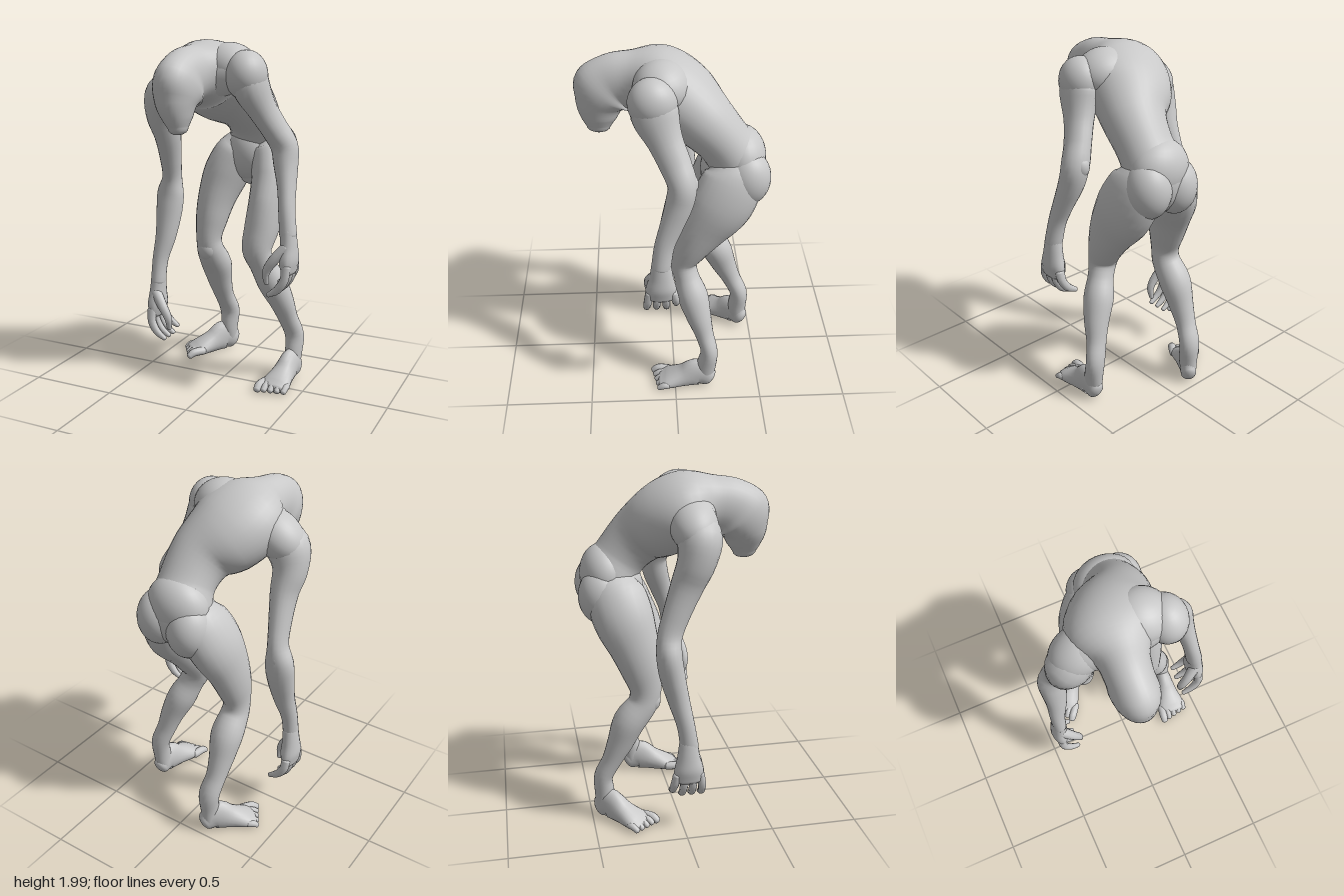
import * as THREE from 'three';

const skin = new THREE.MeshStandardMaterial({ color: 0xc8c8c8 });
skin.name = 'pale grey skin';

// Smooth limb through rings [x, y, z, halfWidth, halfDepth], closed by rounded ends.
// Vertices below floorY are flattened onto it, which makes flat soles.
function loft(name, rings, sides = 20, steps = 4, floorY = -Infinity) {
  const path = new THREE.CatmullRomCurve3(rings.map(r => new THREE.Vector3(r[0], r[1], r[2])));
  const size = new THREE.CatmullRomCurve3(rings.map(r => new THREE.Vector3(r[3], r[4], 0)), false, 'catmullrom');
  const stations = [];
  const capAngles = [90, 65, 40, 18].map(a => a * Math.PI / 180);
  for (const a of capAngles) stations.push([0, Math.cos(a), -Math.sin(a)]);
  const n = (rings.length - 1) * steps;
  for (let i = 0; i <= n; i++) stations.push([i / n, 1, 0]);
  for (const a of [...capAngles].reverse()) stations.push([1, Math.cos(a), Math.sin(a)]);

  const positions = [], index = [];
  stations.forEach(([u, scale, bulge], i) => {
    const c = path.getPoint(u), t = path.getTangent(u), s = size.getPoint(u);
    const side = new THREE.Vector3(1, 0, 0).addScaledVector(t, -t.x).normalize();
    const depth = new THREE.Vector3().crossVectors(t, side);
    c.addScaledVector(t, bulge * Math.min(s.x, s.y) * 0.7);
    for (let j = 0; j < sides; j++) {
      const a = j / sides * Math.PI * 2;
      const p = c.clone()
        .addScaledVector(side, s.x * scale * Math.cos(a))
        .addScaledVector(depth, s.y * scale * Math.sin(a));
      positions.push(p.x, Math.max(p.y, floorY), p.z);
      if (i < stations.length - 1) {
        const k = (j + 1) % sides, r = i * sides, q = r + sides;
        index.push(r + j, r + k, q + k, r + j, q + k, q + j);
      }
    }
  });
  const g = new THREE.BufferGeometry();
  g.setAttribute('position', new THREE.Float32BufferAttribute(positions, 3));
  g.setIndex(index);
  g.computeVertexNormals();
  const mesh = new THREE.Mesh(g, skin);
  mesh.name = name;
  return mesh;
}

// Ellipsoid muscle or bone bump, optionally tilted sideways
function bump(name, x, y, z, rx, ry, rz, tilt = 0) {
  const mesh = new THREE.Mesh(new THREE.SphereGeometry(1, 28, 18), skin);
  mesh.position.set(x, y, z);
  mesh.scale.set(rx, ry, rz);
  mesh.rotation.z = tilt;
  mesh.name = name;
  return mesh;
}

// Hanging hand with the wrist at its origin; s is the outward x direction
function hand(name, x, y, z, s) {
  const g = new THREE.Group();
  g.name = name;
  g.add(loft('palm', [
    [0, 0.02, 0, 0.043, 0.052], [s * 0.006, -0.07, 0, 0.048, 0.066],
    [s * 0.008, -0.14, 0.002, 0.052, 0.084], [s * 0.012, -0.2, 0.002, 0.038, 0.084]], 16));
  for (let k = 0; k < 4; k++) {
    const f = 1.5 - k, len = k === 3 ? 0.92 : 1;
    g.add(loft('finger', [
      [s * 0.015, -0.17, f * 0.044, 0.028, 0.024], [s * 0.01, -0.24 * len, f * 0.051, 0.026, 0.023],
      [-s * 0.028, -0.3 * len, f * 0.055, 0.023, 0.02], [-s * 0.08, -0.335 * len, f * 0.055, 0.014, 0.014]], 10, 3));
  }
  g.add(loft('thumb', [
    [0, -0.07, 0.035, 0.034, 0.034], [-s * 0.06, -0.14, 0.065, 0.03, 0.028],
    [-s * 0.1, -0.21, 0.07, 0.023, 0.023], [-s * 0.1, -0.275, 0.06, 0.014, 0.015]], 10, 3));
  g.position.set(x, y, z);
  return g;
}

// Foot pointing along its own +z, with the ankle above its origin; s is the outward x direction
function foot(name, x, z, turn, s) {
  const g = new THREE.Group();
  g.name = name;
  g.add(loft('sole', [
    [0, 0.06, -0.02, 0.046, 0.065], [0, 0.09, 0.035, 0.052, 0.1],
    [0, 0.06, 0.13, 0.066, 0.07], [0, 0.035, 0.22, 0.087, 0.045], [0, 0.025, 0.26, 0.082, 0.03]], 20, 4, 0));
  for (let k = 0; k < 5; k++) {
    const px = s * (k - 2) * 0.037, r = k === 0 ? 0.025 : 0.02, end = 0.316 - k * 0.011;
    g.add(loft('toe', [
      [px * 0.95, 0.035, 0.22, r, r], [px, 0.034, end - 0.03, r, r], [px, 0.017, end, r * 0.85, r * 0.8]], 10, 3, 0));
  }
  g.position.set(x, 0, z);
  g.rotation.y = turn;
  return g;
}

export function createModel() {
  const model = new THREE.Group();
  model.name = 'hunchedCreature';

  // Bent trunk running from the crotch over the back and neck into the drooping head
  model.add(loft('torsoAndHead', [
    [0.04, 1.18, -0.28, 0.065, 0.07], [0.05, 1.28, -0.32, 0.145, 0.15], [0.06, 1.40, -0.34, 0.17, 0.16],
    [0.068, 1.52, -0.27, 0.158, 0.147], [0.045, 1.64, -0.16, 0.18, 0.168], [-0.03, 1.735, -0.04, 0.24, 0.2],
    [-0.075, 1.805, 0.08, 0.245, 0.192], [-0.09, 1.815, 0.20, 0.145, 0.158], [-0.1, 1.795, 0.30, 0.121, 0.163],
    [-0.1, 1.745, 0.358, 0.124, 0.182], [-0.097, 1.68, 0.387, 0.11, 0.137], [-0.086, 1.60, 0.397, 0.078, 0.1],
    [-0.08, 1.545, 0.4, 0.05, 0.066]], 32, 5));

  // Shoulder girdle, shoulders and hips
  model.add(bump('shoulderGirdle', -0.05, 1.795, 0.085, 0.33, 0.145, 0.14, 0.16));
  model.add(bump('leftTrapezius', 0.065, 1.845, 0.06, 0.16, 0.135, 0.15, -0.2));
  model.add(bump('leftShoulder', 0.18, 1.81, 0.11, 0.115, 0.135, 0.13));
  model.add(bump('rightShoulder', -0.27, 1.745, 0.07, 0.17, 0.12, 0.13, 0.6));
  model.add(bump('lowerBack', 0.06, 1.42, -0.37, 0.18, 0.17, 0.135, 0.1));
  model.add(bump('lowerBelly', 0.04, 1.33, -0.27, 0.14, 0.17, 0.12));
  model.add(bump('leftButtock', 0.16, 1.34, -0.395, 0.125, 0.16, 0.13));
  model.add(bump('rightButtock', -0.03, 1.315, -0.395, 0.125, 0.16, 0.13));

  // Arms
  model.add(loft('leftArm', [
    [0.18, 1.86, 0.11, 0.09, 0.10], [0.2, 1.76, 0.10, 0.098, 0.125], [0.248, 1.63, 0.05, 0.076, 0.095],
    [0.30, 1.52, 0, 0.07, 0.085], [0.347, 1.42, -0.035, 0.076, 0.078], [0.364, 1.32, -0.02, 0.068, 0.075],
    [0.387, 1.20, 0.02, 0.052, 0.064], [0.405, 1.08, 0.06, 0.046, 0.055], [0.423, 0.95, 0.08, 0.048, 0.054]]));
  model.add(loft('rightArm', [
    [-0.23, 1.77, 0.08, 0.08, 0.10], [-0.32, 1.685, 0.09, 0.12, 0.12], [-0.357, 1.58, 0.07, 0.097, 0.105],
    [-0.355, 1.45, 0.02, 0.075, 0.09], [-0.37, 1.30, -0.04, 0.06, 0.075], [-0.385, 1.18, -0.08, 0.056, 0.068],
    [-0.4, 1.08, -0.085, 0.082, 0.07], [-0.403, 0.97, -0.07, 0.08, 0.07], [-0.41, 0.82, -0.035, 0.063, 0.06],
    [-0.43, 0.68, 0, 0.047, 0.05], [-0.435, 0.55, 0.02, 0.043, 0.052]]));
  model.add(bump('leftElbow', 0.34, 1.42, -0.075, 0.045, 0.06, 0.045));
  model.add(bump('rightElbow', -0.4, 1.11, -0.115, 0.045, 0.06, 0.04));
  model.add(hand('leftHand', 0.423, 0.95, 0.08, 1));
  model.add(hand('rightHand', -0.435, 0.55, 0.015, -1));

  // Legs: the left one steps forward, the right one trails behind
  model.add(loft('leftLeg', [
    [0.12, 1.46, -0.32, 0.07, 0.1], [0.16, 1.36, -0.325, 0.12, 0.16], [0.197, 1.20, -0.26, 0.125, 0.178],
    [0.20, 1.05, -0.165, 0.108, 0.148], [0.19, 0.92, -0.1, 0.10, 0.11], [0.18, 0.80, -0.055, 0.088, 0.08],
    [0.21, 0.71, -0.07, 0.076, 0.072], [0.258, 0.60, -0.105, 0.086, 0.088], [0.305, 0.48, -0.14, 0.073, 0.072],
    [0.335, 0.37, -0.172, 0.06, 0.054], [0.368, 0.26, -0.2, 0.058, 0.05], [0.37, 0.15, -0.185, 0.05, 0.058],
    [0.367, 0.07, -0.18, 0.045, 0.05]], 24));
  model.add(loft('rightLeg', [
    [0, 1.43, -0.32, 0.07, 0.1], [-0.05, 1.34, -0.32, 0.12, 0.16], [-0.117, 1.20, -0.285, 0.13, 0.168],
    [-0.16, 1.05, -0.235, 0.11, 0.14], [-0.18, 0.92, -0.2, 0.093, 0.116], [-0.19, 0.80, -0.18, 0.074, 0.09],
    [-0.187, 0.72, -0.195, 0.08, 0.085], [-0.185, 0.61, -0.275, 0.093, 0.092], [-0.185, 0.48, -0.33, 0.073, 0.075],
    [-0.18, 0.37, -0.38, 0.06, 0.057], [-0.165, 0.26, -0.43, 0.063, 0.054], [-0.165, 0.15, -0.425, 0.052, 0.057],
    [-0.165, 0.07, -0.43, 0.045, 0.05]], 24));
  model.add(bump('leftKneecap', 0.18, 0.78, -0.03, 0.065, 0.075, 0.05));
  model.add(bump('rightKneecap', -0.19, 0.74, -0.15, 0.06, 0.075, 0.055));
  model.add(foot('leftFoot', 0.37, -0.18, -0.1, 1));
  model.add(foot('rightFoot', -0.165, -0.43, -0.7, -1));

  return model;
}
